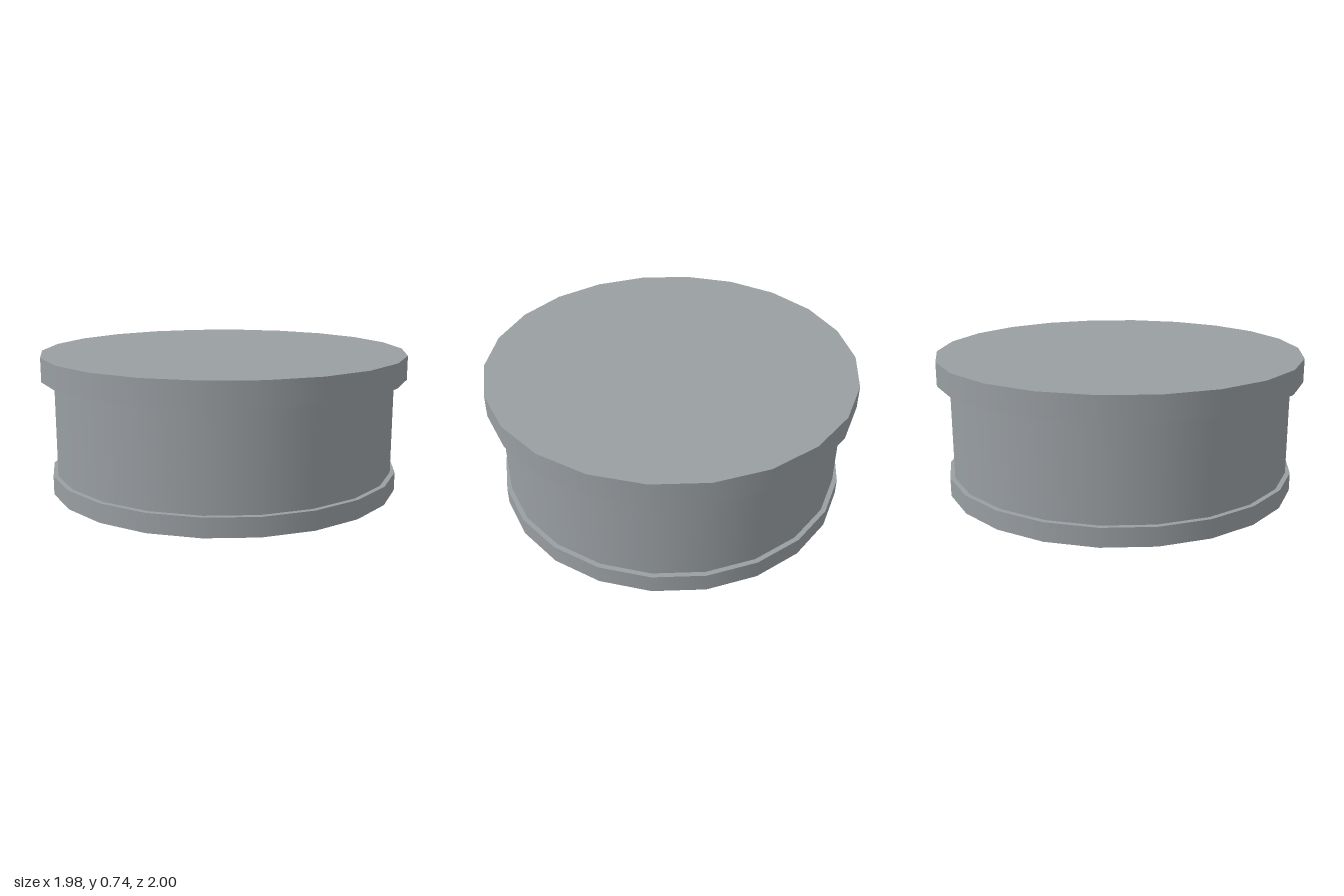
import * as THREE from 'three';

const SIDES = 22;

export function createModel() {
  const group = new THREE.Group();
  group.name = 'roundBox';
  const material = new THREE.MeshStandardMaterial({ color: 0x999ea2 });

  // Smooth-sided drum between two heights, with a corner facing the front
  function drum(name, radius, bottom, top) {
    const geometry = new THREE.CylinderGeometry(radius, radius, top - bottom, SIDES);
    const mesh = new THREE.Mesh(geometry, material);
    mesh.name = name;
    mesh.position.y = (bottom + top) / 2;
    group.add(mesh);
  }

  drum('baseRim', 0.96, 0, 0.1);
  drum('body', 0.934, 0.1, 0.613);
  drum('lid', 1, 0.613, 0.741);

  return group;
}
